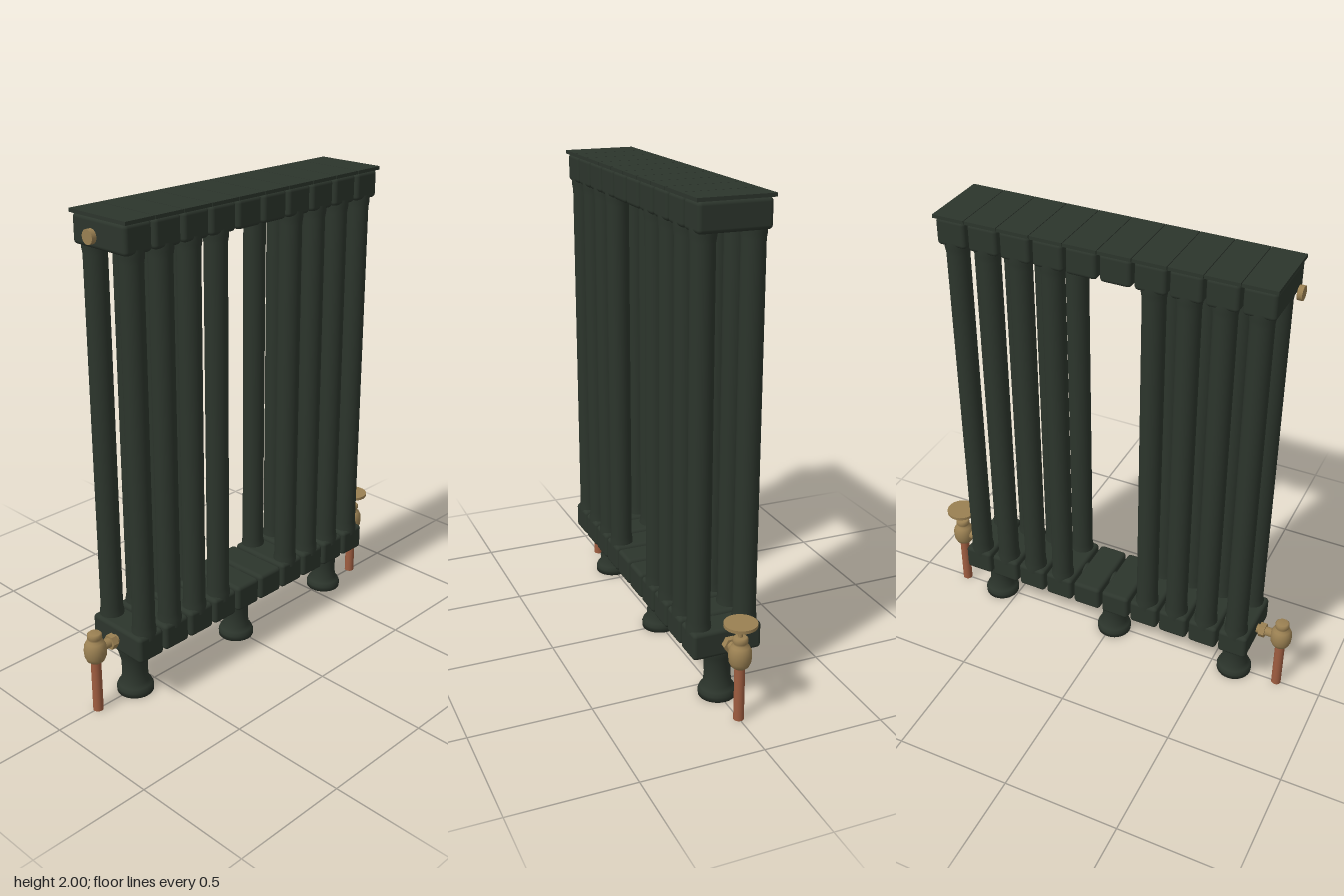
import * as THREE from 'three';
import { RoundedBoxGeometry } from 'three/addons/geometries/RoundedBoxGeometry.js';

const mat = (name, color) => {
  const m = new THREE.MeshStandardMaterial({ color });
  m.name = name;
  return m;
};

export function createModel() {
  const iron = mat('dark green iron', 0x2c352c);
  const brass = mat('aged brass', 0x9a8052);
  const copper = mat('copper', 0x9f5d40);
  const root = new THREE.Group();
  root.name = 'radiator';

  const add = (parent, name, geo, material, x, y, z) => {
    const m = new THREE.Mesh(geo, material);
    m.name = name;
    m.position.set(x, y, z);
    parent.add(m);
    return m;
  };
  const lathe = (pts, seg = 24) =>
    new THREE.LatheGeometry(pts.map(([r, y]) => new THREE.Vector2(r, y)), seg);
  const rod = (r, h, seg = 20) => new THREE.CylinderGeometry(r, r, h, seg);

  // Ten sections; the middle pair has no columns
  const pitch = 0.138, count = 10, x0 = -0.631;
  const header = new RoundedBoxGeometry(0.127, 0.114, 0.29, 3, 0.016);
  const plate = new THREE.BoxGeometry(0.135, 0.014, 0.306);
  const nipple = rod(0.045, 0.03).rotateZ(Math.PI / 2);
  const column = lathe([
    [0.05, 0.31], [0.05, 0.345], [0.046, 0.37],
    [0.046, 1.835], [0.05, 1.86], [0.05, 1.89],
  ]);
  for (let i = 0; i < count; i++) {
    const section = new THREE.Group();
    section.name = 'section' + (i + 1);
    section.position.x = x0 + i * pitch;
    root.add(section);
    add(section, 'bottomHeader', header, iron, 0, 0.279, 0);
    add(section, 'topHeader', header, iron, 0, 1.929, 0);
    add(section, 'topPlate', plate, iron, 0, 1.993, 0);
    if (i !== 4 && i !== 5) {
      for (const z of [0.098, -0.098]) add(section, 'column', column, iron, 0, 0, z);
    }
    if (i < count - 1) {
      for (const y of [0.279, 1.929]) add(section, 'nipple', nipple, iron, pitch / 2, y, 0);
    }
  }

  // Turned feet
  const foot = lathe([
    [0, 0], [0.076, 0], [0.077, 0.022], [0.07, 0.038], [0.057, 0.052],
    [0.053, 0.1], [0.055, 0.15], [0.066, 0.19], [0.073, 0.212], [0.073, 0.226], [0, 0.226],
  ], 28);
  for (const x of [-0.604, -0.012, 0.582]) add(root, 'foot', foot, iron, x, 0, 0);

  // Valves: round body, side union and supply pipe
  const body = lathe([
    [0, 0.225], [0.024, 0.226], [0.036, 0.236], [0.044, 0.255], [0.046, 0.28],
    [0.044, 0.302], [0.036, 0.318], [0.026, 0.326], [0.026, 0.335],
    [0.03, 0.337], [0.03, 0.352], [0.024, 0.358], [0, 0.358],
  ]);
  const valve = (name, x, side) => {
    const g = new THREE.Group();
    g.name = name;
    g.position.x = x;
    root.add(g);
    add(g, 'valveBody', body, brass, 0, 0, 0);
    add(g, 'supplyPipe', rod(0.021, 0.235), copper, 0, 0.1175, 0);
    const union = rod(0.02, 0.11).rotateZ(Math.PI / 2);
    add(g, 'unionTube', union, brass, side * 0.065, 0.28, 0);
    const nut = new THREE.CylinderGeometry(0.032, 0.032, 0.026, 6).toNonIndexed();
    nut.rotateZ(Math.PI / 2);
    nut.computeVertexNormals();
    add(g, 'unionNut', nut, brass, side * 0.083, 0.28, 0);
    return g;
  };
  valve('lockshieldValve', -0.803, 1);
  const control = valve('controlValve', 0.779, -1);

  // Stem and handwheel
  add(control, 'stem', rod(0.009, 0.06, 12), brass, 0, 0.378, 0);
  add(control, 'wheelHub', new THREE.CylinderGeometry(0.024, 0.011, 0.014, 20), brass, 0, 0.395, 0);
  add(control, 'handwheel', rod(0.066, 0.013, 32), brass, 0, 0.411, 0);

  // Bleed plug beside the top header
  const plug = rod(0.028, 0.02).rotateZ(Math.PI / 2);
  add(root, 'bleedPlug', plug, brass, -0.733, 1.929, 0);

  return root;
}
